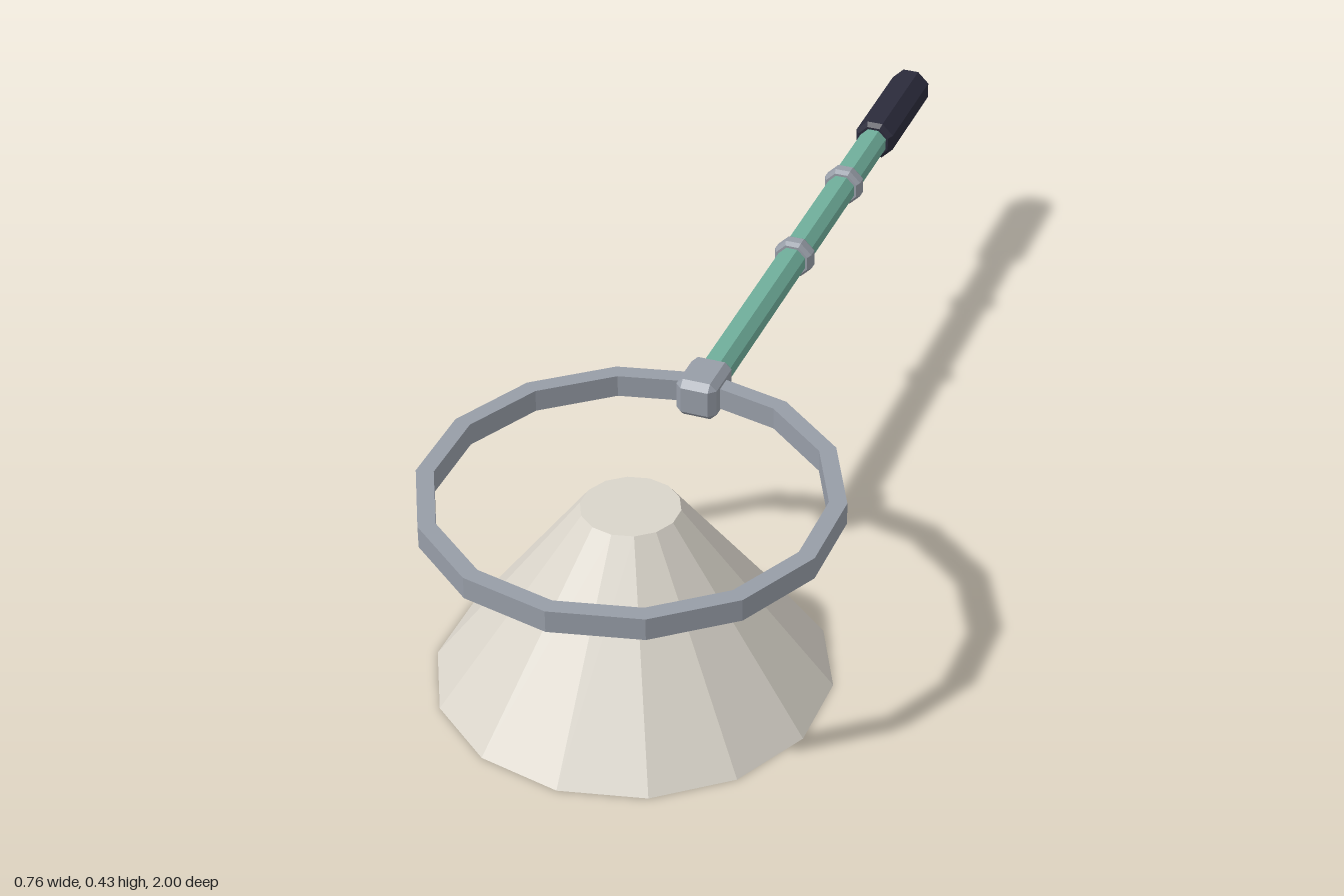
import * as THREE from 'three';
import { ConvexGeometry } from 'three/addons/geometries/ConvexGeometry.js';

const material = (name, color) => {
  const m = new THREE.MeshStandardMaterial({ color, flatShading: true });
  m.name = name;
  return m;
};

// Ring or tube turned from [radius, height] points
const turned = (profile, sides, phase = 0) =>
  new THREE.LatheGeometry(profile.map(([r, h]) => new THREE.Vector2(r, h)), sides, phase);

// Box with every edge chamfered by b
function chamferedBox(w, h, d, b) {
  const half = [w / 2, h / 2, d / 2], points = [];
  for (const x of [-1, 1]) for (const y of [-1, 1]) for (const z of [-1, 1]) {
    for (let face = 0; face < 3; face++) {
      const p = half.map((s, axis) => (axis === face ? s : s - b));
      points.push(new THREE.Vector3(x * p[0], y * p[1], z * p[2]));
    }
  }
  return new ConvexGeometry(points);
}

export function createModel() {
  const net = material('pale net', 0xd9d4ca);
  const metal = material('grey metal', 0x979da7);
  const teal = material('teal pole', 0x6fae9b);
  const rubber = material('dark rubber', 0x2b2b3b);

  const model = new THREE.Group();
  model.name = 'landingNet';
  const add = (name, geometry, mat, x, y, z) => {
    const mesh = new THREE.Mesh(geometry, mat);
    mesh.name = name;
    mesh.position.set(x, y, z);
    model.add(mesh);
    return mesh;
  };

  const hoopZ = 0.61, poleY = 0.391, flat = Math.PI / 8;

  // Net bag and the hoop around its upper end
  add('netBag', new THREE.CylinderGeometry(0.092, 0.37, 0.37, 14), net, 0, 0.185, hoopZ);
  add('hoop', turned([[0.39, -0.022], [0.39, 0.022], [0.357, 0.022], [0.357, -0.022], [0.39, -0.022]], 14),
    metal, 0, poleY, hoopZ);

  // Socket joining hoop and pole
  add('socket', chamferedBox(0.08, 0.078, 0.105, 0.013), metal, 0, 0.393, 0.241);

  // Octagonal pole, running back along -z into the grip
  const poleFront = 0.23, poleBack = -0.995;
  const pole = new THREE.CylinderGeometry(0.03, 0.03, poleFront - poleBack, 8);
  pole.rotateY(flat).rotateX(-Math.PI / 2);
  add('pole', pole, teal, 0, poleY, (poleFront + poleBack) / 2);

  // Collars on the pole
  const collar = turned([[0.028, -0.018], [0.035, -0.018], [0.041, -0.009], [0.041, 0.009],
    [0.035, 0.018], [0.028, 0.018]], 8, flat).rotateX(-Math.PI / 2);
  for (const z of [-0.26, -0.557]) add('collar', collar, metal, 0, poleY, z);

  // Grip with chamfered ends, open around the pole's end
  const grip = turned([[0.029, -0.129], [0.035, -0.129], [0.043, -0.119], [0.043, 0.119],
    [0.035, 0.129], [0.03, 0.129], [0.03, 0.12]], 8, flat).rotateX(-Math.PI / 2);
  add('grip', grip, rubber, 0, poleY, -0.871);

  return model;
}
